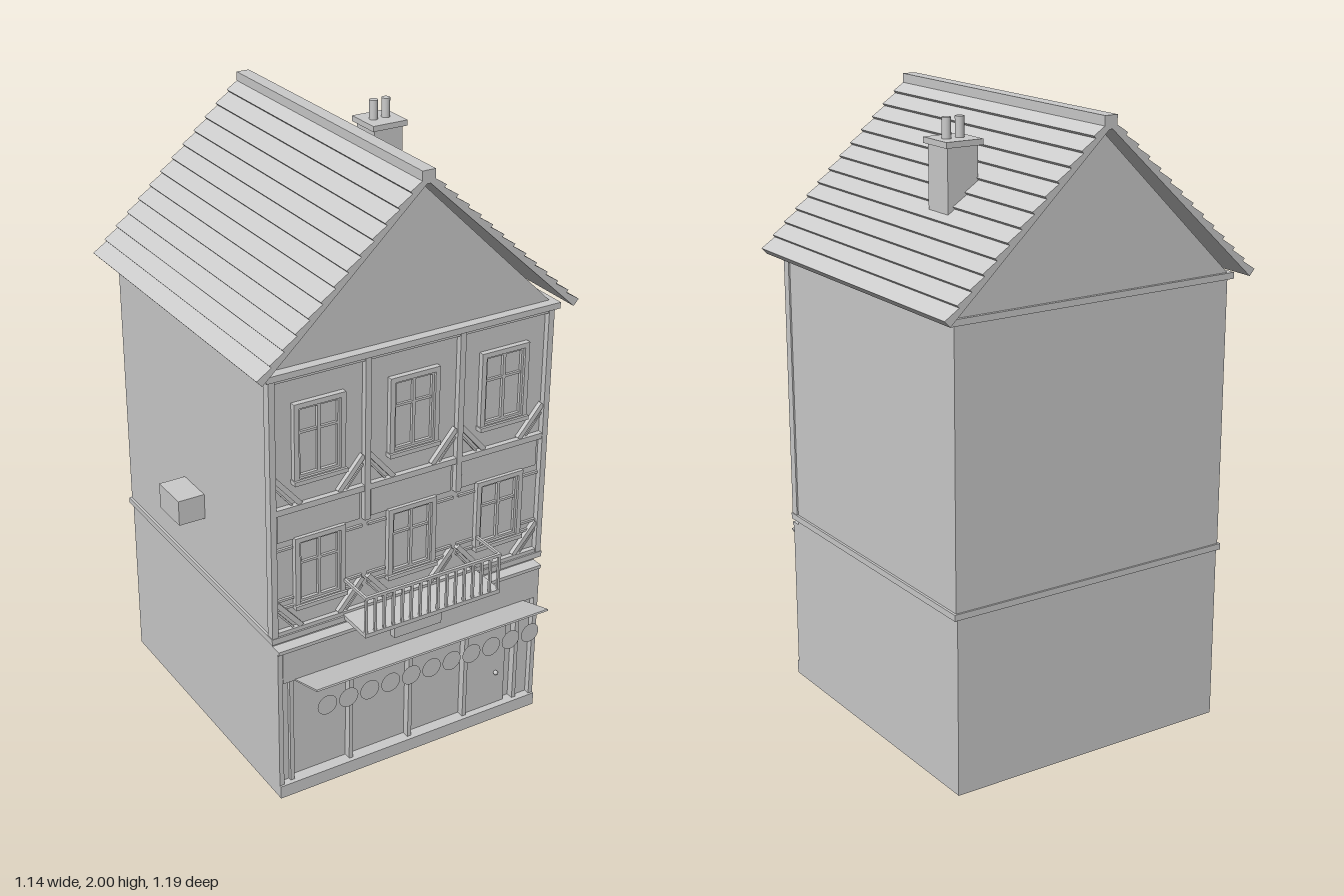
import * as THREE from 'three';

const CX = 0.012;            // middle of the house
const FRONT = 0.43;          // front wall plane
const BACK = -0.545;

export function createModel() {
  const model = new THREE.Group();
  const mat = new THREE.MeshStandardMaterial({ color: 0xcccccc });
  const thin = new THREE.MeshStandardMaterial({ color: 0xcccccc, side: THREE.DoubleSide });

  function add(name, geo, parent = model, m = mat) {
    const mesh = new THREE.Mesh(geo, m);
    mesh.name = name;
    parent.add(mesh);
    return mesh;
  }
  // Box given by its limits on each axis
  function box(name, x0, x1, y0, y1, z0, z1, parent = model) {
    const mesh = add(name, new THREE.BoxGeometry(x1 - x0, y1 - y0, z1 - z0), parent);
    mesh.position.set((x0 + x1) / 2, (y0 + y1) / 2, (z0 + z1) / 2);
    return mesh;
  }
  // Flat bar on the facade between two points
  function bar(name, ax, ay, bx, by, width, z0, z1, parent) {
    const len = Math.hypot(bx - ax, by - ay);
    const mesh = add(name, new THREE.BoxGeometry(len, width, z1 - z0), parent);
    mesh.position.set((ax + bx) / 2, (ay + by) / 2, (z0 + z1) / 2);
    mesh.rotation.z = Math.atan2(by - ay, bx - ax);
  }
  // Rectangular frame with an opening
  function frame(name, x0, x1, y0, y1, t, z0, z1, parent) {
    const s = new THREE.Shape([[x0, y0], [x1, y0], [x1, y1], [x0, y1]].map(p => new THREE.Vector2(...p)));
    s.holes.push(new THREE.Path([[x0 + t, y0 + t], [x0 + t, y1 - t], [x1 - t, y1 - t], [x1 - t, y0 + t]]
      .map(p => new THREE.Vector2(...p))));
    const mesh = add(name, new THREE.ExtrudeGeometry(s, { depth: z1 - z0, bevelEnabled: false }), parent);
    mesh.position.z = z0;
  }
  function group(name) {
    const g = new THREE.Group();
    g.name = name;
    model.add(g);
    return g;
  }

  // Walls
  box('groundFloorWalls', -0.476, 0.5, 0, 0.575, BACK, FRONT);
  box('upperWalls', -0.48, 0.505, 0.575, 1.46, BACK, FRONT);
  box('beltCourse', -0.488, 0.513, 0.572, 0.592, BACK - 0.006, 0.452);
  box('eaveCornice', -0.497, 0.522, 1.455, 1.475, BACK - 0.01, 0.462);

  // Gable block under the roof
  const gable = new THREE.Shape([[-0.478, 1.475], [0.502, 1.475], [CX, 1.955]].map(p => new THREE.Vector2(...p)));
  add('gable', new THREE.ExtrudeGeometry(gable, { depth: FRONT - BACK, bevelEnabled: false })).position.z = BACK;

  // Roof slopes with lapped tile rows
  const roof = group('roof');
  roof.position.set(CX, 1.965, -0.0525);
  const rows = 13, len = 0.732, depth = 1.085;
  const pts = [new THREE.Vector2(0, 0), new THREE.Vector2(len, 0)];
  for (let i = rows; i > 0; i--) {
    pts.push(new THREE.Vector2(len * i / rows, 0.027), new THREE.Vector2(len * (i - 1) / rows, 0.017));
  }
  const slopeGeo = new THREE.ExtrudeGeometry(new THREE.Shape(pts), { depth, bevelEnabled: false });
  slopeGeo.translate(0, 0, -depth / 2).rotateZ(-Math.atan2(0.505, 0.545));
  for (const turn of [0, Math.PI]) add('roofSlope', slopeGeo, roof).rotation.y = turn;
  box('ridgeCap', CX - 0.022, CX + 0.022, 1.96, 2, -0.595, 0.49);

  // Chimney with two pots
  const chimney = group('chimney');
  box('chimneyStack', 0.232, 0.336, 1.68, 1.895, -0.252, -0.147, chimney);
  box('chimneyCap', 0.222, 0.348, 1.89, 1.908, -0.265, -0.138, chimney);
  for (const x of [0.263, 0.308]) {
    add('chimneyPot', new THREE.CylinderGeometry(0.014, 0.014, 0.065, 16), chimney).position.set(x, 1.938, -0.203);
  }

  // Timber framing of the facade
  const timber = group('timberFrame');
  const posts = [-0.475, -0.153, 0.177, 0.5];
  posts.forEach((x, i) => {
    const low = i === 0 || i === 3 ? 0.59 : 0.91;
    box('timberPost', x - 0.01, x + 0.01, low, 1.457, FRONT - 0.01, 0.45, timber);
  });
  box('middleBeam', -0.485, 0.51, 1.01, 1.03, FRONT, 0.448, timber);
  box('topBeam', -0.485, 0.51, 1.44, 1.457, FRONT, 0.446, timber);
  box('bottomBeam', -0.485, 0.51, 0.59, 0.605, FRONT, 0.446, timber);
  for (let i = 0; i < 3; i++) {
    const a = posts[i] + 0.01, b = posts[i + 1] - 0.01;
    box('bayPanel', a + 0.01, b - 0.01, 0.912, 1.008, FRONT, 0.436, timber);
    // Diagonal braces at the foot of each storey
    for (const y of [1.03, 0.605]) {
      for (const [x, d] of [[a, 1], [b, -1]]) {
        bar('brace', x, y + 0.1, x + d * 0.085, y, 0.016, FRONT, 0.445, timber);
        bar('innerBrace', x, y + 0.07, x + d * 0.058, y, 0.006, FRONT, 0.44, timber);
      }
    }
    // Short boards beside the lower windows
    const mid = (a + b) / 2;
    for (const y of [0.885, 0.71, 0.68]) {
      box('sideBoard', a, mid - 0.09, y - 0.004, y + 0.004, FRONT, 0.438, timber);
      box('sideBoard', mid + 0.09, b, y - 0.004, y + 0.004, FRONT, 0.438, timber);
    }
  }

  // Windows on two storeys
  const windows = group('windows');
  for (const [y0, y1] of [[1.1, 1.36], [0.672, 0.916]]) {
    for (const x of [-0.315, CX, 0.338]) {
      const ym = y0 + (y1 - y0) * 0.62;
      frame('windowFrame', x - 0.087, x + 0.087, y0, y1, 0.016, FRONT - 0.01, 0.448, windows);
      frame('windowSash', x - 0.071, x + 0.071, y0 + 0.016, y1 - 0.016, 0.008, FRONT - 0.01, 0.44, windows);
      box('windowMullion', x - 0.005, x + 0.005, y0 + 0.016, y1 - 0.016, FRONT, 0.44, windows);
      box('windowBar', x - 0.071, x + 0.071, ym - 0.004, ym + 0.004, FRONT, 0.438, windows);
      box('windowSill', x - 0.09, x + 0.09, y0 - 0.002, y0 + 0.012, FRONT, 0.456, windows);
    }
  }

  // Balcony with open sides
  const balcony = group('balcony');
  const bx0 = -0.235, bx1 = 0.26;
  box('balconyFloor', bx0, bx1, 0.582, 0.596, FRONT, 0.575, balcony);
  box('frontRail', bx0, bx1, 0.716, 0.726, 0.565, 0.575, balcony);
  for (const x of [bx0, bx1 - 0.008]) box('sideRail', x, x + 0.008, 0.716, 0.726, FRONT, 0.57, balcony);
  for (let i = 0; i <= 15; i++) {
    const x = bx0 + 0.005 + (bx1 - bx0 - 0.01) * i / 15;
    box('baluster', x - 0.004, x + 0.004, 0.594, 0.718, 0.566, 0.574, balcony);
  }

  // Shopfront
  const shop = group('shopfront');
  box('plinth', -0.476, 0.5, 0, 0.045, FRONT, 0.47, shop);
  for (const x of [-0.476, 0.484]) box('cornerPilaster', x, x + 0.016, 0.04, 0.55, FRONT, 0.463, shop);
  box('fascia', -0.46, 0.484, 0.43, 0.545, FRONT, 0.466, shop);
  box('fasciaCornice', -0.476, 0.5, 0.54, 0.552, FRONT, 0.47, shop);
  for (const x of [-0.425, -0.21, CX, 0.227, 0.428]) {
    box('shopMullion', x - 0.007, x + 0.007, 0.045, 0.435, FRONT, 0.455, shop);
  }
  box('sidePanel', -0.46, -0.432, 0.045, 0.435, FRONT, 0.443, shop);
  box('sidePanel', 0.435, 0.484, 0.045, 0.435, FRONT, 0.443, shop);
  box('door', 0.236, 0.39, 0.045, 0.342, FRONT, 0.446, shop);
  add('doorKnob', new THREE.SphereGeometry(0.008, 12, 8), shop).position.set(0.352, 0.17, 0.452);
  box('plainNameboard', -0.075, 0.1, 0.478, 0.515, 0.46, 0.49, shop);

  // Awning with a scalloped row of discs
  const awning = group('awning');
  const sheet = add('awningSheet', new THREE.BoxGeometry(0.857, 0.006, 0.142), awning);
  sheet.position.set(0.01, 0.45, 0.53);
  sheet.rotation.x = -Math.atan2(0.04, 0.13);
  const disc = new THREE.CircleGeometry(0.034, 24);
  for (let i = 0; i < 11; i++) {
    add('scallop', disc, awning, thin).position.set(-0.382 + i * 0.0752, 0.407, 0.598);
  }

  // Hanging sign box on the side wall
  box('sideSign', -0.57, -0.478, 0.792, 0.878, -0.122, 0.012);

  return model;
}
